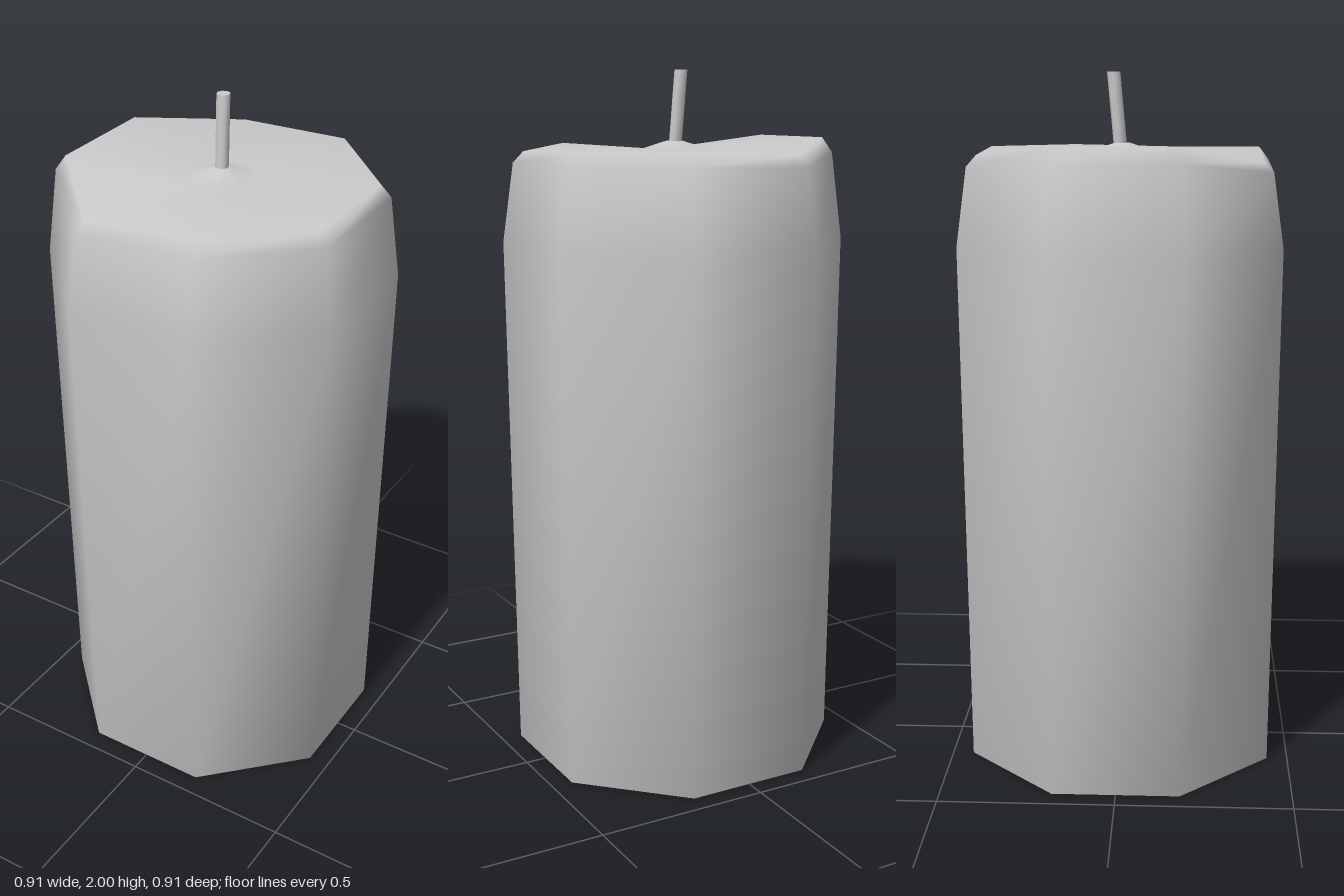
import * as THREE from 'three';

const SIDES = 8;

// Skin of octagonal rings closed by a centre point at each end, smooth all over
function ringSolid(rings, bottomY, topY) {
  const pos = [0, bottomY, 0];
  const index = [];
  rings.forEach(({ radius, y, sag = 0 }) => {
    for (let i = 0; i < SIDES; i++) {
      const a = ((i + 0.5) / SIDES) * Math.PI * 2;
      pos.push(Math.cos(a) * radius, y + sag * RIM[i], Math.sin(a) * radius);
    }
  });
  pos.push(0, topY, 0);
  const last = pos.length / 3 - 1;
  const at = (r, i) => 1 + r * SIDES + (i % SIDES);
  for (let i = 0; i < SIDES; i++) {
    index.push(0, at(0, i), at(0, i + 1));
    for (let r = 0; r < rings.length - 1; r++) {
      const a = at(r, i), b = at(r, i + 1), c = at(r + 1, i), d = at(r + 1, i + 1);
      index.push(a, c, b, b, c, d);
    }
    index.push(at(rings.length - 1, i), last, at(rings.length - 1, i + 1));
  }
  const geo = new THREE.BufferGeometry();
  geo.setAttribute('position', new THREE.Float32BufferAttribute(pos, 3));
  geo.setIndex(index);
  geo.computeVertexNormals();
  return geo;
}

// Uneven melted rim: height offset at each corner
const RIM = [-0.01, 0, -0.03, 0.022, 0.025, -0.01, 0, -0.003];

export function createModel() {
  const group = new THREE.Group();
  group.name = 'candle';
  const material = new THREE.MeshStandardMaterial({ color: 0xcccccc });

  // Wax body: slight flare, tapered shoulder, soft rim, small rise at the wick
  const wax = new THREE.Mesh(ringSolid([
    { radius: 0.476, y: 0 },
    { radius: 0.492, y: 1.52 },
    { radius: 0.46, y: 1.75, sag: 0.7 },
    { radius: 0.43, y: 1.785, sag: 1 },
    { radius: 0.1, y: 1.778 },
    { radius: 0.024, y: 1.802 },
  ], 0, 1.803), material);
  wax.name = 'waxBody';
  group.add(wax);

  // Wick: thin stem leaning back
  const wickGeo = new THREE.CylinderGeometry(0.019, 0.019, 0.22, 8, 3);
  wickGeo.translate(0, 1.89, 0);
  const p = wickGeo.attributes.position;
  for (let i = 0; i < p.count; i++) {
    const t = (p.getY(i) - 1.78) / 0.22;
    p.setX(i, p.getX(i) - 0.008 * t);
    p.setZ(i, p.getZ(i) - 0.004 - 0.02 * t);
  }
  wickGeo.computeVertexNormals();
  const wick = new THREE.Mesh(wickGeo, material);
  wick.name = 'wick';
  group.add(wick);

  return group;
}
